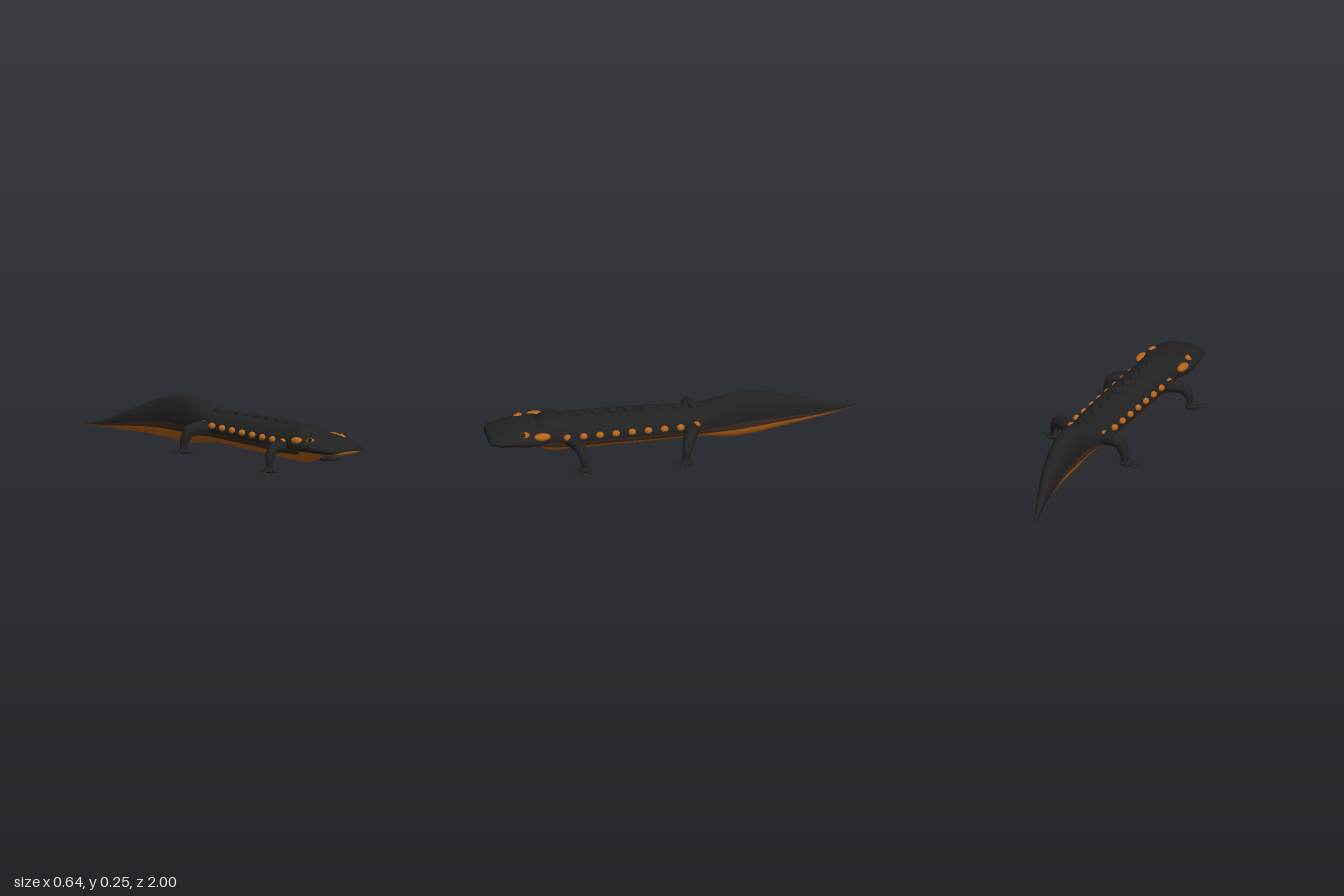
import * as THREE from 'three';

const mat = (name, color) => Object.assign(new THREE.MeshStandardMaterial({ color }), { name });
const black = mat('blackSkin', 0x222222);
const brown = mat('brownSkin', 0x412c20);
const orange = mat('orangeSkin', 0xb5651d);
const skins = [black, brown, orange];
const V = (x, y, z) => new THREE.Vector3(x, y, z);

// Joins rings of points into one skin; bands are [startAngle, endAngle, steps, materialIndex]
function skin(name, count, bands, pointAt) {
  const angles = [], owner = [];
  for (const [from, to, steps, m] of bands)
    for (let k = 0; k < steps; k++) {
      angles.push(from + (to - from) * k / steps);
      owner.push(m);
    }
  const n = angles.length, pos = [], faces = [[], [], []];
  for (let i = 0; i < count; i++)
    for (let j = 0; j < n; j++) {
      pos.push(...pointAt(i / (count - 1), angles[j]).toArray());
      if (i === count - 1) continue;
      const a = i * n + j, b = i * n + (j + 1) % n;
      faces[owner[j]].push(a, b, a + n, b, b + n, a + n);
    }
  const geo = new THREE.BufferGeometry();
  geo.setAttribute('position', new THREE.Float32BufferAttribute(pos, 3));
  geo.setIndex(faces.flat());
  let start = 0;
  faces.forEach((f, m) => {
    geo.addGroup(start, f.length, m);
    start += f.length;
  });
  geo.computeVertexNormals();
  const mesh = new THREE.Mesh(geo, skins);
  mesh.name = name;
  return mesh;
}

// Black above, a brown stripe on each side, orange below
function sideBands(lo, hi) {
  const a = Math.asin(lo), b = Math.asin(hi), P = Math.PI;
  return [[-a, P + a, 20, 0], [P + a, P + b, 3, 1], [P + b, 2 * P - b, 12, 2], [2 * P - b, 2 * P - a, 3, 1]];
}

// Sections: [z, centre x, bottom y, top y, half width], ordered from back to front
function loft(name, sections, count, bands, power) {
  const low = new THREE.CatmullRomCurve3(sections.map(s => V(s[1], s[2], s[0])), false, 'catmullrom');
  const high = new THREE.CatmullRomCurve3(sections.map(s => V(s[4], s[3], s[0])), false, 'catmullrom');
  return skin(name, count, bands, (t, angle) => {
    const p = low.getPoint(t), q = high.getPoint(t);
    const c = Math.cos(angle), s = Math.sin(angle);
    return V(p.x + Math.max(q.x, 0.0005) * Math.sign(c) * Math.abs(c) ** power,
      (p.y + q.y) / 2 + (q.y - p.y) / 2 * s, p.z);
  });
}

function blob(name, material, x, y, z, rx, ry, rz) {
  const mesh = new THREE.Mesh(new THREE.SphereGeometry(1, 16, 10), material);
  mesh.name = name;
  mesh.position.set(x, y, z);
  mesh.scale.set(rx, ry, rz);
  return mesh;
}

// Bent limb from the flank to a splayed foot, with toes given as angles from +x towards +z
function leg(name, side, shoulderZ, footX, footZ, toes, thick) {
  const g = new THREE.Group();
  g.name = name;
  const at = (x, y, f) => V(side * x, y, shoulderZ + (footZ - shoulderZ) * f);
  const path = new THREE.CatmullRomCurve3([
    at(0.06, 0.118, 0), at(0.13, 0.125, 0.3), at(footX - 0.035, 0.115, 0.7),
    at(footX - 0.01, 0.075, 0.9), at(footX - 0.005, 0.045, 0.97), at(footX, 0.012, 1)]);
  const radii = new THREE.SplineCurve([0.042, 0.038, 0.032, 0.026, 0.021, 0.02]
    .map((r, i) => new THREE.Vector2(i, r * thick)));
  const dir = V(side * footX, 0, footZ - shoulderZ).normalize();
  const across = V(0, 1, 0).cross(dir);
  const P = Math.PI;
  g.add(skin(name + 'Limb', 22, [[-0.5, P + 0.5, 10, 0], [P + 0.5, 2 * P - 0.5, 6, 1]], (t, angle) => {
    const normal = path.getTangent(t).cross(across).normalize();
    const r = radii.getPoint(t).y;
    return path.getPoint(t).addScaledVector(across, r * Math.cos(angle))
      .addScaledVector(normal, r * Math.sin(angle));
  }));
  g.add(blob('foot', black, side * footX, 0.015, footZ, 0.03, 0.015, 0.03));
  toes.forEach(([deg, length]) => {
    const a = deg * P / 180;
    const geo = new THREE.ConeGeometry(0.011, length, 8);
    geo.rotateZ(-P / 2).translate(length / 2, 0, 0).scale(1, 0.7, 1).rotateZ(-0.04);
    const toe = new THREE.Mesh(geo, black);
    toe.name = 'toe';
    toe.position.set(side * (footX + 0.01 * Math.cos(a)), 0.012, footZ + 0.01 * Math.sin(a));
    toe.rotation.y = side > 0 ? -a : P + a;
    g.add(toe);
  });
  return g;
}

export function createModel() {
  const model = new THREE.Group();
  model.name = 'newt';

  // Trunk and finned tail
  model.add(loft('bodyAndTail', [
    [-1, -0.165, 0.028, 0.032, 0.001],
    [-0.9, -0.135, 0.022, 0.058, 0.013],
    [-0.8, -0.104, 0.02, 0.1, 0.024],
    [-0.7, -0.076, 0.02, 0.145, 0.036],
    [-0.6, -0.05, 0.019, 0.188, 0.046],
    [-0.5, -0.03, 0.014, 0.226, 0.054],
    [-0.4, -0.016, 0.007, 0.25, 0.061],
    [-0.3, -0.007, 0.006, 0.253, 0.067],
    [-0.2, 0, 0.022, 0.228, 0.076],
    [-0.1, 0, 0.04, 0.203, 0.095],
    [0, 0, 0.043, 0.207, 0.106],
    [0.2, 0, 0.042, 0.216, 0.11],
    [0.4, 0, 0.041, 0.22, 0.11],
    [0.58, 0, 0.038, 0.225, 0.11],
    [0.68, 0, 0.042, 0.233, 0.108],
    [0.72, 0, 0.07, 0.215, 0.102],
    [0.76, 0, 0.11, 0.18, 0.07]], 90, sideBands(0.2, 0.5), 0.85));

  // Broad flat head
  model.add(loft('head', [
    [0.66, 0, 0.1, 0.19, 0.08],
    [0.71, 0, 0.09, 0.2, 0.125],
    [0.76, 0, 0.093, 0.2, 0.144],
    [0.82, 0, 0.1, 0.195, 0.144],
    [0.89, 0, 0.106, 0.185, 0.135],
    [0.95, 0, 0.112, 0.174, 0.122],
    [0.98, 0, 0.117, 0.167, 0.108],
    [0.994, 0, 0.125, 0.157, 0.085],
    [1, 0, 0.139, 0.142, 0.03]], 40, sideBands(0.35, 0.5), 0.75));

  // Warts along the spine and flanks
  for (let i = 0; i < 9; i++) {
    const z = 0.59 - i * 0.085;
    const top = 0.203 + 0.018 * Math.min(1, (8 - i) / 5);
    model.add(blob('spineWart', black, 0, top, z, 0.023, 0.019, 0.027));
    for (const side of [-1, 1])
      model.add(blob('flankWart', orange, side * (i === 8 ? 0.098 : 0.112), 0.147, z, 0.018, 0.017, 0.021));
  }

  // Cheek glands and eyes
  for (const side of [-1, 1]) {
    model.add(blob('cheekGland', orange, side * 0.121, 0.17, 0.725, 0.024, 0.02, 0.045));
    model.add(blob('eye', orange, side * 0.104, 0.178, 0.812, 0.02, 0.018, 0.026));
    model.add(blob('pupil', black, side * 0.113, 0.186, 0.822, 0.012, 0.012, 0.013));
  }

  // Legs in mid stride
  const fingers = [[-25, 0.06], [25, 0.075], [65, 0.08], [105, 0.065]];
  const hindToes = [[-50, 0.05], [-15, 0.06], [12, 0.082], [52, 0.09], [95, 0.07]];
  model.add(leg('leftFrontLeg', 1, 0.575, 0.22, 0.52, fingers, 0.9));
  model.add(leg('rightFrontLeg', -1, 0.575, 0.225, 0.62, fingers, 0.9));
  model.add(leg('leftHindLeg', 1, -0.08, 0.24, -0.01, hindToes, 1));
  model.add(leg('rightHindLeg', -1, -0.08, 0.225, -0.1, hindToes, 1));
  return model;
}
